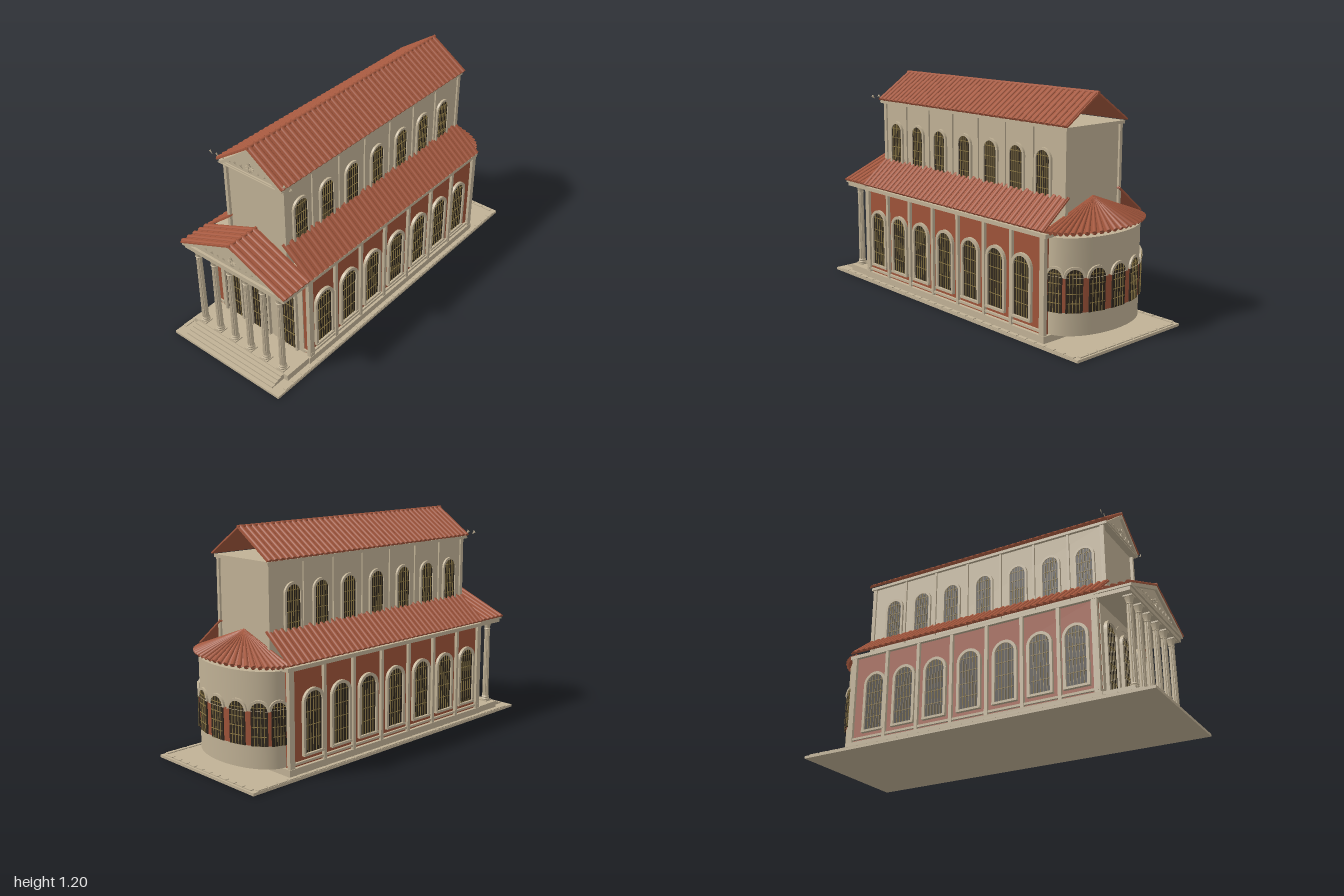
import * as THREE from 'three';
import { mergeGeometries, toCreasedNormals } from 'three/addons/utils/BufferGeometryUtils.js';

const mat = (name, color, side = THREE.FrontSide) => {
  const m = new THREE.MeshStandardMaterial({ color, side });
  m.name = name;
  return m;
};

export function createModel() {
  const stone = mat('cream stone', 0xc0b195);
  const red = mat('red plaster', 0x9e5339);
  const tile = mat('terracotta tile', 0xa5583e, THREE.DoubleSide);
  const dark = mat('dark glass', 0x30281e);
  const gold = mat('bronze grille', 0x8a7644);
  const root = new THREE.Group();

  const add = (parent, name, geo, material) => {
    const m = new THREE.Mesh(geo, material);
    m.name = name;
    parent.add(m);
    return m;
  };
  const group = (name, parent = root) => {
    const g = new THREE.Group();
    g.name = name;
    parent.add(g);
    return g;
  };
  // box geometry given by its min and max corners
  const boxGeo = (x0, x1, y0, y1, z0, z1) =>
    new THREE.BoxGeometry(x1 - x0, y1 - y0, z1 - z0).translate((x0 + x1) / 2, (y0 + y1) / 2, (z0 + z1) / 2);
  const box = (name, m, ...b) => add(root, name, boxGeo(...b), m);
  const extrude = (shape, depth) =>
    new THREE.ExtrudeGeometry(shape, { depth, bevelEnabled: false, curveSegments: 10 });
  const archShape = (hw, h, y0 = 0, C = THREE.Shape) => {
    const s = new C();
    s.moveTo(-hw, y0).lineTo(hw, y0).lineTo(hw, h - hw);
    s.absarc(0, h - hw, hw, 0, Math.PI, false);
    s.closePath();
    return s;
  };

  // arched window facing +z: glass, grille and frame
  function archWindow(name, hw, h, { frame = 0.015, depth = 0.016, nV = 5, nH = 4, jambs = true, sill = true } = {}) {
    const g = group(name);
    add(g, 'glass', extrude(archShape(hw, h), 0.006), dark);
    const bars = [];
    for (let i = 1; i <= nV; i++) {
      const x = -hw + (2 * hw * i) / (nV + 1);
      bars.push(boxGeo(x - 0.0015, x + 0.0015, 0, h - hw + Math.sqrt(hw * hw - x * x), 0.006, 0.009));
    }
    for (let i = 1; i <= nH; i++) {
      const y = ((h - hw * 0.6) * i) / nH;
      bars.push(boxGeo(-hw * 0.9, hw * 0.9, y - 0.0015, y + 0.0015, 0.006, 0.009));
    }
    add(g, 'grille', mergeGeometries(bars), gold);
    const spring = jambs ? 0 : h - hw;
    const outer = archShape(hw + frame, h + frame, spring);
    outer.holes.push(archShape(hw, h, spring + 0.0005, THREE.Path));
    add(g, 'frame', extrude(outer, depth), stone);
    if (sill) add(g, 'sill', boxGeo(-hw - frame, hw + frame, -0.012, 0, 0, depth + 0.003), stone);
    return g;
  }

  // sloping tiled roof on side s, from the upper to the lower edge
  function slopeRoof(name, s, [ux, uy], [lx, ly], z0, z1) {
    const g = group(name);
    const L = Math.hypot(lx - ux, ly - uy);
    add(g, 'sheet', new THREE.BoxGeometry(L, 0.008, z1 - z0), tile);
    const n = Math.round((z1 - z0) / 0.037), step = (z1 - z0) / n, ribs = [];
    for (let i = 0; i < n; i++) {
      ribs.push(new THREE.CylinderGeometry(0.0125, 0.0125, L + 0.004, 10).rotateZ(Math.PI / 2)
        .scale(1, 0.65, 1).translate(0, 0.004, z0 + (i + 0.5) * step - (z0 + z1) / 2));
    }
    add(g, 'tileRibs', mergeGeometries(ribs), tile);
    g.position.set(s * (ux + lx) / 2, (uy + ly) / 2, (z0 + z1) / 2);
    g.rotation.z = -s * Math.atan2(uy - ly, lx - ux);
  }

  // pediment: tympanum, raking cornices, wedge row and rosette
  function pediment(name, hw, y0, y1, z) {
    const g = group(name);
    const tri = new THREE.Shape([new THREE.Vector2(-hw, y0), new THREE.Vector2(hw, y0), new THREE.Vector2(0, y1)]);
    add(g, 'tympanum', extrude(tri, 0.012).translate(0, 0, z - 0.012), stone);
    const k = 0.9, hole = new THREE.Path([new THREE.Vector2(-hw * 0.84, y0 + 0.004),
      new THREE.Vector2(0, y0 + (y1 - y0) * k - 0.008), new THREE.Vector2(hw * 0.84, y0 + 0.004)]);
    const rim = tri.clone();
    rim.holes.push(hole);
    add(g, 'rakingCornice', extrude(rim, 0.014).translate(0, 0, z), stone);
    const parts = [];
    for (const s of [-1, 1]) for (const x of [0.05, 0.092, 0.13, 0.175, 0.215, 0.257]) {
      parts.push(new THREE.ConeGeometry(0.009, 0.024, 4).scale(1, 1, 0.4).rotateZ(s * 2.4)
        .translate(s * x, y0 + 0.031, z + 0.004));
    }
    for (let i = 0; i < 16; i++) {
      const a = (i * Math.PI) / 8;
      parts.push(boxGeo(0.006, 0.025, -0.0018, 0.0018, 0, 0.006).rotateZ(a).translate(0, y0 + 0.045, z));
    }
    add(g, 'ornament', mergeGeometries(parts), stone);
  }

  // ground slab with a border of paving blocks
  box('groundSlab', stone, -0.372, 0.372, 0, 0.014, -1, 1);
  const paving = [];
  for (const s of [-1, 1]) for (let z = -0.97; z < 0.94; z += 0.064)
    paving.push(boxGeo(s * 0.36 - 0.01, s * 0.36 + 0.01, 0.014, 0.019, z, z + 0.058));
  for (let x = -0.34; x < 0.33; x += 0.0625) paving.push(boxGeo(x, x + 0.056, 0.014, 0.019, -0.99, -0.97));
  add(root, 'pavingBlocks', mergeGeometries(paving), stone);
  box('plinth', stone, -0.343, 0.343, 0.014, 0.05, -0.75, 0.73);

  // aisles: red walls, mouldings, pilasters and windows
  box('aisleWalls', red, -0.325, 0.325, 0.05, 0.54, -0.735, 0.71);
  box('aisleCornice', stone, -0.343, 0.343, 0.533, 0.553, -0.755, 0.73);
  const posts = [0.705, 0.51, 0.307, 0.105, -0.103, -0.31, -0.512, -0.73];
  const bays = [0.6, 0.405, 0.21, 0.003, -0.203, -0.397, -0.585];
  for (const s of [-1, 1]) {
    box('baseMoulding', stone, s * 0.328 - 0.009, s * 0.328 + 0.009, 0.062, 0.074, -0.74, 0.715);
    posts.forEach((z, i) => {
      const w = i === 0 || i === 7 ? 0.016 : 0.009;
      box('aislePilaster', stone, s * 0.33 - 0.011, s * 0.33 + 0.011, 0.05, 0.535, z - w, z + w);
      box('navePilaster', stone, s * 0.19 - 0.009, s * 0.19 + 0.009, 0.56, 1.025, z - w * 0.7, z + w * 0.7);
    });
    for (const z of bays) {
      const low = archWindow('aisleWindow', 0.055, 0.308);
      low.position.set(s * 0.325, 0.107, z);
      const high = archWindow('clerestoryWindow', 0.045, 0.24, { frame: 0.013, depth: 0.012 });
      high.position.set(s * 0.19, 0.676, z);
      low.rotation.y = high.rotation.y = (s * Math.PI) / 2;
    }
    slopeRoof('aisleRoof', s, [0.18, 0.703], [0.35, 0.565], -0.75, 0.725);
    slopeRoof('naveRoof', s, [0, 1.188], [0.213, 1.045], -0.76, 0.745);
    slopeRoof('porchRoof', s, [0, 0.714], [0.352, 0.568], 0.715, 0.91);
  }

  // nave above the aisles
  box('naveWalls', stone, -0.19, 0.19, 0.545, 1.025, -0.73, 0.7);
  box('naveCornice', stone, -0.206, 0.206, 1.024, 1.04, -0.75, 0.737);
  pediment('navePediment', 0.207, 1.03, 1.182, 0.729);
  for (const [y, z0, z1] of [[1.19, -0.76, 0.745], [0.716, 0.715, 0.91]])
    add(root, 'ridgeCap', new THREE.CylinderGeometry(0.009, 0.009, z1 - z0, 10).rotateX(Math.PI / 2)
      .translate(0, y, (z0 + z1) / 2), tile);

  // front wall with three tall arched doors
  box('frontWallPanel', stone, -0.29, 0.29, 0.05, 0.535, 0.7, 0.715);
  for (const s of [-1, 1]) {
    box('frontMoulding', stone, s * 0.316 - 0.027, s * 0.316 + 0.027, 0.062, 0.076, 0.7, 0.718);
    box('frontCornerPilaster', stone, s * 0.332 - 0.009, s * 0.332 + 0.009, 0.05, 0.535, 0.7, 0.718);
  }
  for (const x of [-0.19, 0, 0.19])
    archWindow('frontDoor', 0.056, 0.405, { frame: 0.013, depth: 0.018, nV: 5, nH: 4, sill: false })
      .position.set(x, 0.052, 0.714);
  const surround = archShape(0.12, 0.47);
  surround.holes.push(archShape(0.085, 0.44, 0.001, THREE.Path));
  add(root, 'doorSurround', extrude(surround, 0.004).translate(0, 0.052, 0.714), stone);

  // porch floor, steps, entablature and pediment
  box('porchFloor', stone, -0.335, 0.335, 0.014, 0.05, 0.72, 0.89);
  for (let i = 0; i < 4; i++)
    box('step', stone, -0.308, 0.308, 0.014, 0.046 - i * 0.008, 0.88, 0.91 + i * 0.022);
  box('entablature', stone, -0.34, 0.34, 0.533, 0.553, 0.71, 0.895);
  box('porchCornice', stone, -0.347, 0.347, 0.553, 0.57, 0.71, 0.905);
  pediment('porchPediment', 0.345, 0.567, 0.708, 0.892);

  // fluted columns
  const shaft = new THREE.CylinderGeometry(0.0155, 0.0185, 0.41, 24, 1);
  const p = shaft.attributes.position;
  for (let i = 0; i < p.count; i++) {
    const a = Math.round(Math.atan2(p.getX(i), p.getZ(i)) / (Math.PI / 12));
    if (a % 2) p.setXYZ(i, p.getX(i) * 0.88, p.getY(i), p.getZ(i) * 0.88);
  }
  const fluted = toCreasedNormals(shaft.translate(0, 0.285, 0), 0.3);
  const lathe = (pts) => toCreasedNormals(
    new THREE.LatheGeometry(pts.map(([r, y]) => new THREE.Vector2(r, y)), 16), 0.7);
  const baseGeo = lathe([[0, 0.056], [0.023, 0.056], [0.024, 0.063], [0.02, 0.069], [0.022, 0.075], [0.018, 0.082]]);
  const capGeo = lathe([[0.016, 0.486], [0.019, 0.489], [0.016, 0.493], [0.018, 0.508], [0.024, 0.526], [0, 0.526]]);
  for (const x of [-0.278, -0.166, -0.056, 0.056, 0.166, 0.278]) {
    const c = group('column');
    add(c, 'shaft', fluted, stone);
    add(c, 'base', baseGeo, stone);
    add(c, 'capital', capGeo, stone);
    add(c, 'footing', boxGeo(-0.025, 0.025, 0.048, 0.057, -0.025, 0.025), stone);
    add(c, 'abacus', boxGeo(-0.024, 0.024, 0.525, 0.534, -0.024, 0.024), stone);
    c.position.set(x, 0, 0.863);
  }

  // apse: half-oval wall, red band, windows and fan roof
  const A = 0.3, B = 0.172, ZC = -0.735;
  const halfOval = (a, b, y0, y1, open = false) =>
    new THREE.CylinderGeometry(1, 1, y1 - y0, 48, 1, open, Math.PI / 2, Math.PI)
      .scale(a, 1, b).translate(0, (y0 + y1) / 2, ZC);
  add(root, 'apseWall', halfOval(A, B, 0.053, 0.535), stone);
  add(root, 'apseRedBand', halfOval(A + 0.004, B + 0.004, 0.17, 0.34), red);
  for (let i = 0; i < 7; i++) {
    const t = (Math.PI * (i + 0.5)) / 7, c = Math.cos(t), s = Math.sin(t);
    const hw = 0.034 + 0.012 * s;
    const w = archWindow('apseWindow', hw, 0.215, { frame: 0.013, depth: 0.01, nV: 4, nH: 4, jambs: false, sill: false });
    w.position.set((A + 0.002) * c, 0.17, ZC - (B + 0.002) * s);
    w.rotation.y = Math.atan2(c / A, -s / B);
  }
  const RA = 0.325, RB = 0.188, Y0 = 0.558, Y1 = 0.688;
  add(root, 'apseRoof', new THREE.ConeGeometry(1, Y1 - Y0, 48, 1, true, Math.PI / 2, Math.PI)
    .scale(RA, 1, RB).translate(0, (Y0 + Y1) / 2, ZC), tile);
  const fan = [], up = new THREE.Vector3(0, 1, 0), apex = new THREE.Vector3(0, Y1, ZC);
  for (let i = 0; i <= 24; i++) {
    const t = (Math.PI * i) / 24;
    const foot = new THREE.Vector3(RA * Math.cos(t), Y0, ZC - RB * Math.sin(t));
    const dir = apex.clone().sub(foot);
    const q = new THREE.Quaternion().setFromUnitVectors(up, dir.clone().normalize());
    const mid = apex.clone().add(foot).multiplyScalar(0.5);
    fan.push(new THREE.CylinderGeometry(0.003, 0.012, dir.length(), 8).applyQuaternion(q).translate(mid.x, mid.y, mid.z));
  }
  add(root, 'apseTileRibs', mergeGeometries(fan), tile);
  return root;
}
